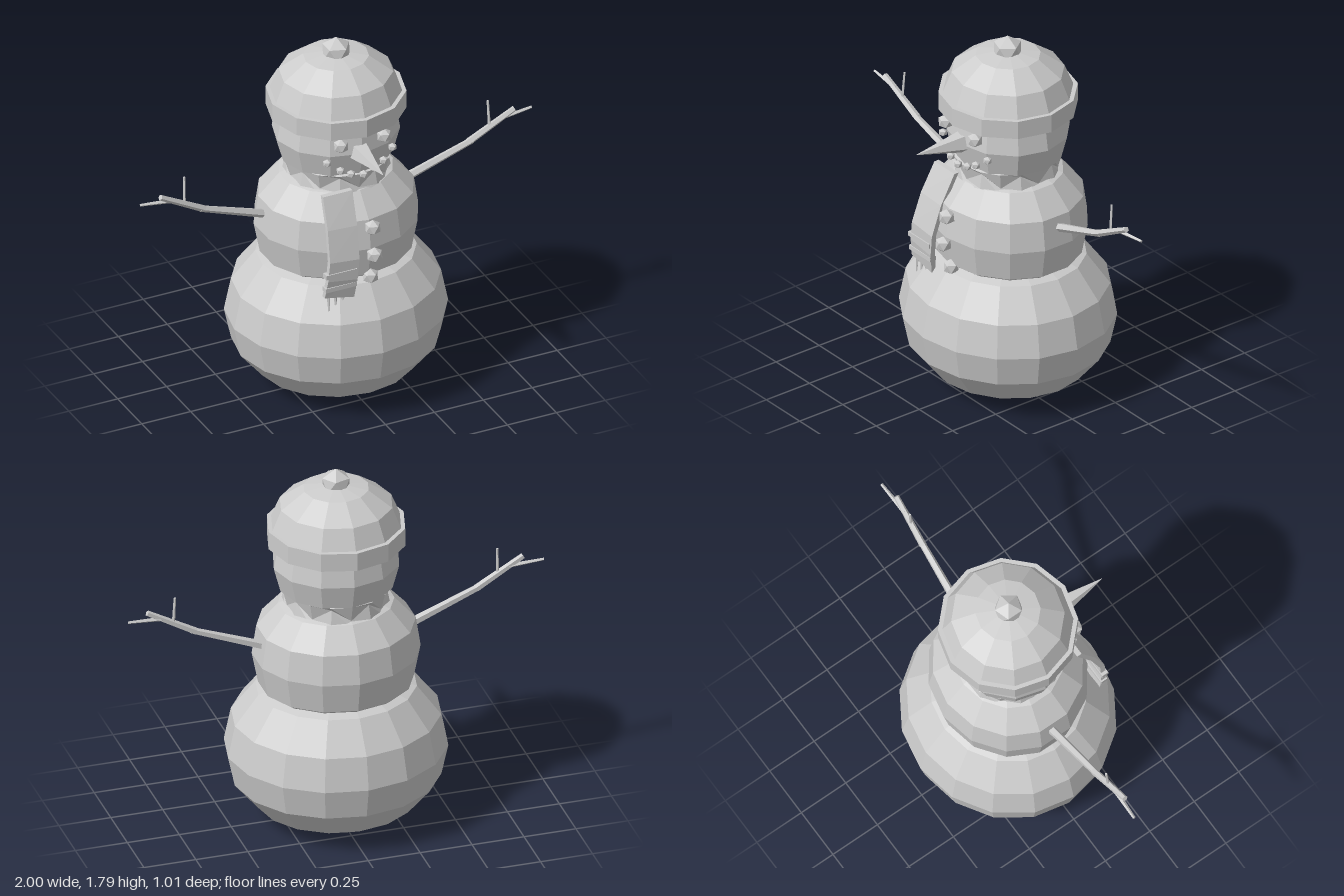
import * as THREE from 'three';

export function createModel() {
  const model = new THREE.Group();
  const snow = new THREE.MeshStandardMaterial({ color: 0xcccccc, flatShading: true });
  snow.name = 'plain grey';

  const add = (name, geometry, x = 0, y = 0, z = 0) => {
    const mesh = new THREE.Mesh(geometry, snow);
    mesh.name = name;
    mesh.position.set(x, y, z);
    model.add(mesh);
    return mesh;
  };

  // Faceted round part from [radius, height] pairs, bottom to top
  const turned = (name, points, sides, widthScale) => {
    const geo = new THREE.LatheGeometry(points.map(([r, y]) => new THREE.Vector2(r, y)), sides);
    geo.scale(widthScale, 1, 1);
    return add(name, geo, 0, 0, -0.015);
  };

  // Icosahedron with one corner pointing up
  const pebble = (name, r, x, y, z) =>
    add(name, new THREE.IcosahedronGeometry(r, 0).rotateZ(-0.5536), x, y, z);

  // Tapered stick between two points
  const stick = (name, a, b, r0, r1, sides = 5) => {
    const from = new THREE.Vector3(...a), to = new THREE.Vector3(...b);
    const dir = to.clone().sub(from);
    const mesh = add(name, new THREE.CylinderGeometry(r1, r0, dir.length(), sides));
    mesh.position.copy(from).add(to).multiplyScalar(0.5);
    mesh.quaternion.setFromUnitVectors(new THREE.Vector3(0, 1, 0), dir.normalize());
    return mesh;
  };

  // Three snowballs
  turned('lowerBody', [[0, 0], [0.2, 0], [0.355, 0.085], [0.462, 0.22], [0.493, 0.37],
    [0.462, 0.53], [0.355, 0.675], [0.2, 0.73], [0, 0.74]], 16, 1.055);
  turned('middleBody', [[0, 0.6], [0.22, 0.62], [0.335, 0.705], [0.362, 0.855],
    [0.342, 1.0], [0.25, 1.11], [0.12, 1.16], [0, 1.17]], 14, 1.08);
  turned('head', [[0, 1.14], [0.17, 1.16], [0.25, 1.2], [0.28, 1.32], [0.265, 1.415],
    [0.19, 1.52], [0, 1.57]], 12, 1.07);

  // Scarf wrapped round the neck, with a zigzag fold
  const wrap = new THREE.LatheGeometry(
    [[0.2, 1.08], [0.25, 1.1], [0.235, 1.15], [0.255, 1.2], [0.2, 1.22]]
      .map(([r, y]) => new THREE.Vector2(r, y)), 16);
  const wp = wrap.attributes.position;
  for (let i = 0; i < wp.count; i++) {
    const column = Math.floor(i / 5), row = i % 5;
    const wave = column % 2 ? 1 : -1;
    if (row === 2) wp.setY(i, wp.getY(i) + wave * 0.03);
    if (row === 1) wp.setY(i, wp.getY(i) + wave * 0.01);
  }
  add('scarfWrap', wrap, 0, 0, -0.01);

  // Hanging scarf end, bent over the belly
  const rows = [[1.135, 0.245], [0.99, 0.315], [0.84, 0.36], [0.74, 0.36], [0.645, 0.345]];
  const tail = new THREE.BoxGeometry(0.15, 1, 0.025, 1, 4, 1);
  const tp = tail.attributes.position;
  for (let i = 0; i < tp.count; i++) {
    const k = Math.round((0.5 - tp.getY(i)) * 4);
    const x = tp.getX(i);
    tp.setXYZ(i, x - 0.125 - k * 0.01, rows[k][0] - x * 0.05 * k, rows[k][1] + tp.getZ(i));
  }
  add('scarfTail', tail);
  for (const y of [0.778, 0.705]) {
    add('scarfStripe', new THREE.BoxGeometry(0.158, 0.022, 0.034), -0.163, y, y > 0.75 ? 0.361 : 0.355);
  }
  for (let i = 0; i < 4; i++) {
    const x = -0.215 + i * 0.035;
    stick('scarfFringe', [x, 0.655, 0.345], [x, 0.58, 0.348], 0.009, 0.003, 4);
  }

  // Hat: dome, folded brim and bobble
  turned('hatDome', [[0.28, 1.48], [0.3, 1.52], [0.26, 1.62], [0.15, 1.7], [0, 1.725]], 12, 1.02);
  turned('hatBrim', [[0.25, 1.43], [0.322, 1.43], [0.322, 1.52], [0.28, 1.52]], 12, 1.01);
  pebble('hatBobble', 0.073, 0, 1.722, -0.012);

  // Face
  for (const x of [-0.11, 0.11]) pebble('eye', 0.037, x, 1.388, 0.262);
  const nose = stick('nose', [-0.005, 1.32, 0.23], [-0.015, 1.338, 0.505], 0.057, 0.001, 5);
  nose.name = 'nose';
  const smile = [[0, 1.217], [0.062, 1.23], [0.11, 1.253], [0.167, 1.295]];
  for (const [x, y] of smile) {
    for (const side of x ? [-1, 1] : [1]) {
      pebble('smileStone', 0.021, side * x, y, 0.275 - 1.5 * x * x);
    }
  }

  // Buttons
  for (const [y, z] of [[0.968, 0.348], [0.832, 0.368], [0.697, 0.322]]) {
    pebble('button', 0.04, 0.01, y, z);
  }

  // Branch arms with twigs
  for (const s of [-1, 1]) {
    stick('upperArm', [s * 0.33, 0.93, -0.03], [s * 0.695, 1.064, -0.01], 0.022, 0.016);
    stick('forearm', [s * 0.675, 1.057, -0.012], [s * 0.905, 1.183, 0], 0.018, 0.014);
    stick('twig', [s * 0.78, 1.11, -0.005], [s * 0.776, 1.25, -0.015], 0.008, 0.006, 4);
    stick('twig', [s * 0.83, 1.145, -0.005], [s * 1.0, 1.158, -0.015], 0.012, 0.007, 4);
  }

  return model;
}
